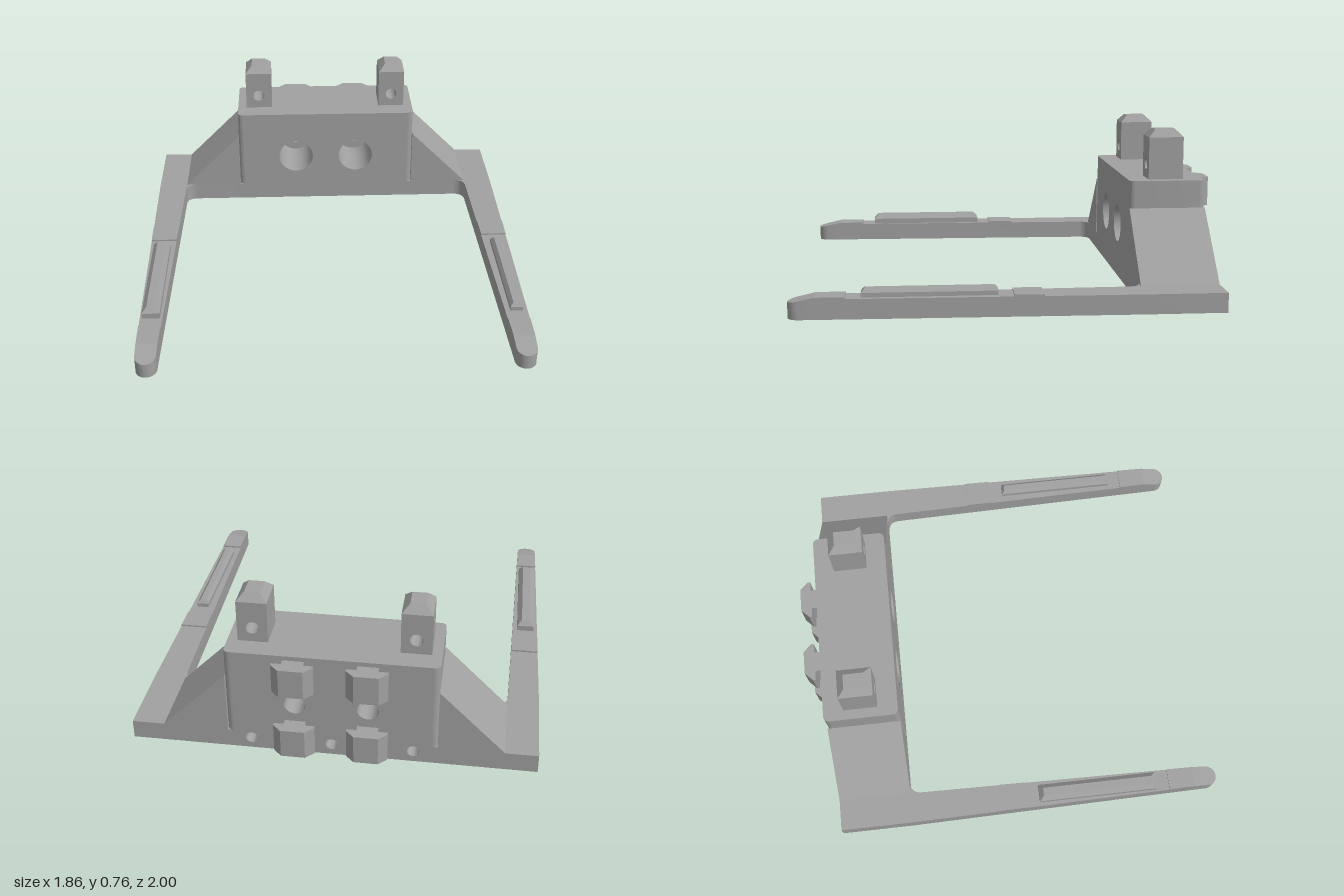
import * as THREE from 'three';
import { toCreasedNormals } from 'three/addons/utils/BufferGeometryUtils.js';

const grey = new THREE.MeshStandardMaterial({ color: 0xa0a0a0 });
grey.name = 'grey plastic';

const BACK = -0.92, FRONT = -0.56, BASE = 0.09, TOP = 0.52;

function polygon(points) {
  return new THREE.Shape(points.map(([x, y]) => new THREE.Vector2(x, y)));
}

function addHole(shape, x, y, r) {
  const path = new THREE.Path();
  path.absarc(x, y, r, 0, Math.PI * 2, true);
  shape.holes.push(path);
}

function extrude(shape, depth) {
  return new THREE.ExtrudeGeometry(shape, { depth, bevelEnabled: false, curveSegments: 16 });
}

// Front-facing outline pushed from z0 to z1
const alongZ = (shape, z0, z1) => extrude(shape, z1 - z0).translate(0, 0, z0);

// Plan outline, drawn as (x, -z), raised from y0 to y1
const alongY = (shape, y0, y1) => extrude(shape, y1 - y0).rotateX(-Math.PI / 2).translate(0, y0, 0);

// Box whose top face is inset by d on every side
function frustum(w, h, l, d) {
  const g = new THREE.BoxGeometry(w, h, l);
  const p = g.attributes.position;
  for (let i = 0; i < p.count; i++) {
    if (p.getY(i) > 0) {
      p.setX(i, p.getX(i) - Math.sign(p.getX(i)) * d);
      p.setZ(i, p.getZ(i) - Math.sign(p.getZ(i)) * d);
    }
  }
  return g.translate(0, h / 2, 0);
}

export function createModel() {
  const model = new THREE.Group();
  model.name = 'bracket';
  const add = (name, geometry, x = 0, y = 0, z = 0) => {
    const mesh = new THREE.Mesh(toCreasedNormals(geometry, 0.5), grey);
    mesh.name = name;
    mesh.position.set(x, y, z);
    model.add(mesh);
  };

  // Body in three layers: counterbores in front, sockets in the middle, pin holes behind
  const block = (sockets) => polygon(sockets
    ? [[-0.45, 0], [-0.435, 0], [-0.435, 0.24], [-0.295, 0.24], [-0.295, 0], [0.295, 0],
      [0.295, 0.24], [0.435, 0.24], [0.435, 0], [0.45, 0], [0.45, TOP], [-0.45, TOP]]
    : [[-0.45, 0], [0.45, 0], [0.45, TOP], [-0.45, TOP]]);
  const front = block(false), middle = block(true), back = block(false);
  for (const x of [-0.165, 0.165]) {
    addHole(front, x, 0.263, 0.093);
    addHole(middle, x, 0.263, 0.093);
    addHole(back, x, 0.263, 0.049);
  }
  for (const x of [-0.37, 0, 0.37]) addHole(back, x, 0.056, 0.028);
  add('bodyFront', alongZ(front, -0.66, FRONT));
  add('bodyMiddle', alongZ(middle, -0.82, -0.66));
  add('bodyBack', alongZ(back, BACK, -0.82));

  // Tapering arm edges
  const outer = (z) => 0.93 - 0.023 * Math.max(0, (z + 0.56) / 1.51);
  const inner = (z) => 0.783 + 0.027 * Math.max(0, (z + 0.5) / 1.45);

  for (const s of [-1, 1]) {
    const side = s > 0 ? 'left' : 'right';

    // Body end with rounded upright corners
    const end = new THREE.Shape();
    end.moveTo(s * 0.45, -BACK);
    end.quadraticCurveTo(s * 0.48, -BACK, s * 0.48, -BACK - 0.03);
    end.lineTo(s * 0.48, -FRONT + 0.03);
    end.quadraticCurveTo(s * 0.48, -FRONT, s * 0.45, -FRONT);
    add(side + 'BodyEnd', alongY(end, BASE, TOP));

    // Sloping gusset
    add(side + 'Gusset', alongZ(polygon([[s * 0.48, BASE], [s * 0.78, BASE], [s * 0.48, 0.39]]), BACK, FRONT));

    // Base and arm with a fillet in the inside corner
    const arm = new THREE.Shape();
    arm.moveTo(s * 0.45, -BACK);
    arm.lineTo(s * 0.93, -BACK);
    arm.lineTo(s * 0.93, -FRONT);
    arm.lineTo(s * outer(0.88), -0.88);
    arm.lineTo(s * inner(0.88), -0.88);
    arm.lineTo(s * inner(-0.5), 0.5);
    arm.quadraticCurveTo(s * 0.783, -FRONT, s * 0.72, -FRONT);
    arm.lineTo(s * 0.45, -FRONT);
    add(side + 'Arm', alongY(arm, 0, BASE));

    // Low raised pads across the arm
    for (const [z0, z1] of [[-0.11, 0.02], [0.75, 0.88]]) {
      add(side + 'ArmPad', alongY(polygon([[s * inner(z0), -z0], [s * outer(z0), -z0],
        [s * outer(z1), -z1], [s * inner(z1), -z1]]), BASE, 0.098));
    }

    // Rounded tip, sloping down towards the end
    const tip = new THREE.Shape();
    tip.moveTo(s * inner(0.88), -0.88);
    tip.lineTo(s * inner(0.95), -0.95);
    for (let i = 1; i <= 12; i++) {
      const a = Math.PI * i / 12;
      tip.lineTo(s * (0.8585 - 0.0485 * Math.cos(a)), -0.95 - 0.05 * Math.sin(a));
    }
    tip.lineTo(s * outer(0.88), -0.88);
    const tipGeometry = alongY(tip, 0, 0.098);
    const p = tipGeometry.attributes.position;
    for (let i = 0; i < p.count; i++) {
      if (p.getY(i) > 0.05) p.setY(i, 0.098 - (p.getZ(i) - 0.88) * 0.22);
    }
    tipGeometry.computeVertexNormals();
    add(side + 'ArmTip', tipGeometry);

    // Guide rail on the arm, wider and taller on the right
    const w = s > 0 ? 0.06 : 0.084, h = s > 0 ? 0.02 : 0.027, d = s > 0 ? 0.015 : 0.022;
    add(side + 'RailBase', new THREE.BoxGeometry(w, h, 0.595), s * 0.859, BASE + h / 2, 0.385);
    add(side + 'RailTop', frustum(w, h * 0.9, 0.595, d), s * 0.859, BASE + h, 0.385);

    // Post with a cross hole and chamfered head
    const post = polygon([[-0.069, TOP], [0.069, TOP], [0.069, 0.72], [-0.069, 0.72]]);
    addHole(post, 0, 0.59, 0.03);
    add(side + 'Post', alongZ(post, -0.822, -0.658), s * 0.364);
    add(side + 'PostHead', frustum(0.138, 0.036, 0.164, 0.034), s * 0.364, 0.72, -0.74);

    // T-shaped clips on the back
    const clip = polygon([[-0.048, 0.92], [-0.048, 0.948], [-0.093, 0.948], [-0.093, 0.962], [-0.055, 1],
      [0.055, 1], [0.093, 0.962], [0.093, 0.948], [0.048, 0.948], [0.048, 0.92]]);
    for (const y of [0.03, 0.357]) add(side + 'Clip', alongY(clip, y, y + 0.142), s * 0.165);
  }
  return model;
}
